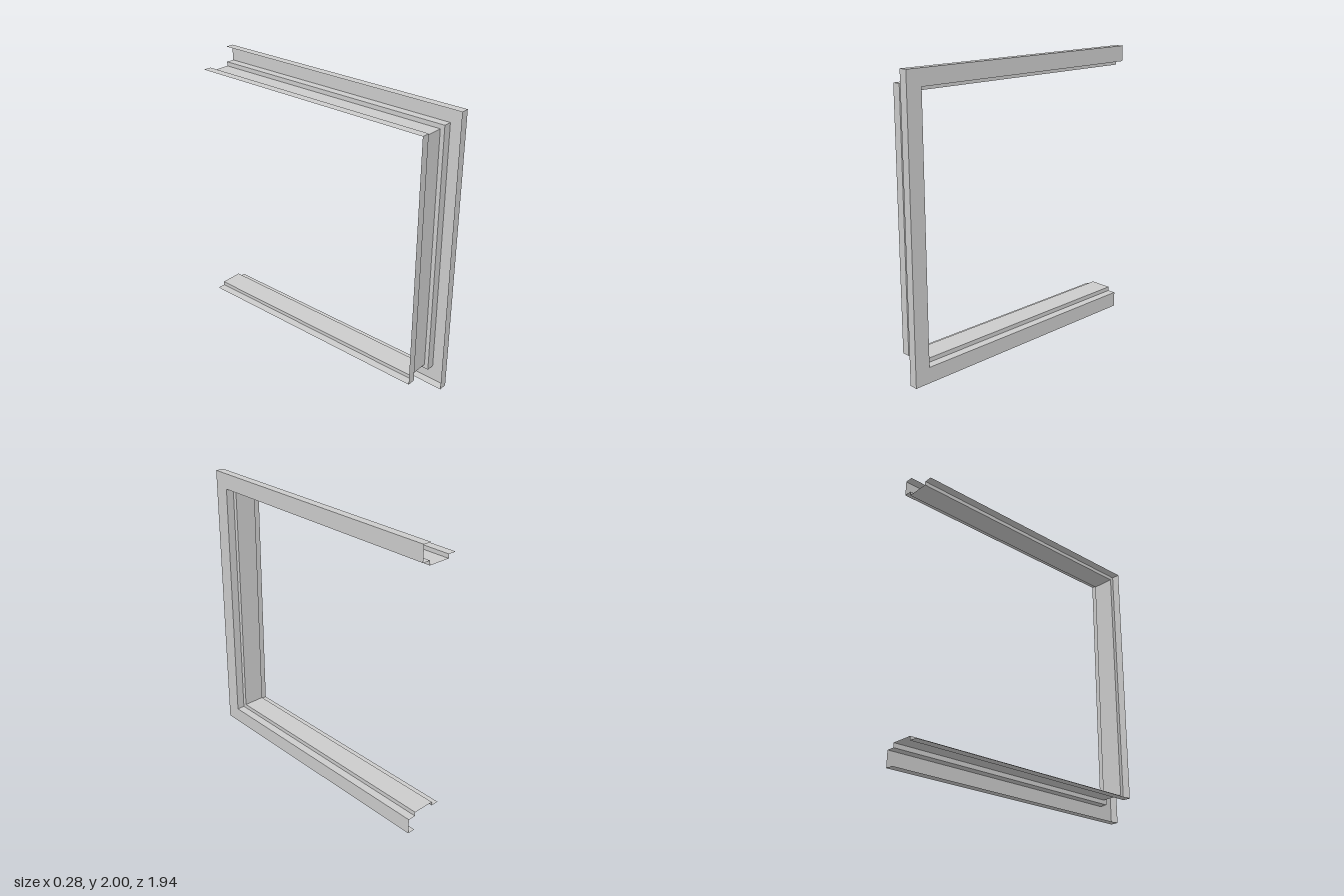
import * as THREE from 'three';

const HEIGHT = 2, HALF_DEPTH = 0.972;

// Sheet-metal cross-section: each point is [x, inset from the outer edge of the frame]
const profile = [
  [0.08, 0], [0.138, 0], [0.138, 0.11], [0.08, 0.11],
  [0.08, 0.14], [-0.08, 0.14], [-0.08, 0.113], [-0.138, 0.113],
];
const names = ['returnLip', 'faceFlange', 'faceReturn', 'faceRiser', 'web', 'backRiser', 'backLip'];

// C-shaped path (top rail, front post, bottom rail) for one profile point, mitred at the corners
function pathAt([x, inset]) {
  const front = HALF_DEPTH - inset;
  return [
    [x, HEIGHT - inset, -HALF_DEPTH],
    [x, HEIGHT - inset, front],
    [x, inset, front],
    [x, inset, -HALF_DEPTH],
  ];
}

// Flat strip folded around the C between two neighbouring profile points
function stripGeometry(p, q) {
  const a = pathAt(p), b = pathAt(q), positions = [];
  for (let i = 0; i < a.length - 1; i++) {
    for (const v of [a[i], b[i], a[i + 1], b[i], b[i + 1], a[i + 1]]) positions.push(...v);
  }
  const geometry = new THREE.BufferGeometry();
  geometry.setAttribute('position', new THREE.Float32BufferAttribute(positions, 3));
  geometry.computeVertexNormals();
  return geometry;
}

export function createModel() {
  const frame = new THREE.Group();
  frame.name = 'channelFrame';
  const material = new THREE.MeshStandardMaterial({ color: 0xcccccc, side: THREE.DoubleSide });
  names.forEach((name, i) => {
    const mesh = new THREE.Mesh(stripGeometry(profile[i], profile[i + 1]), material);
    mesh.name = name;
    frame.add(mesh);
  });
  return frame;
}
